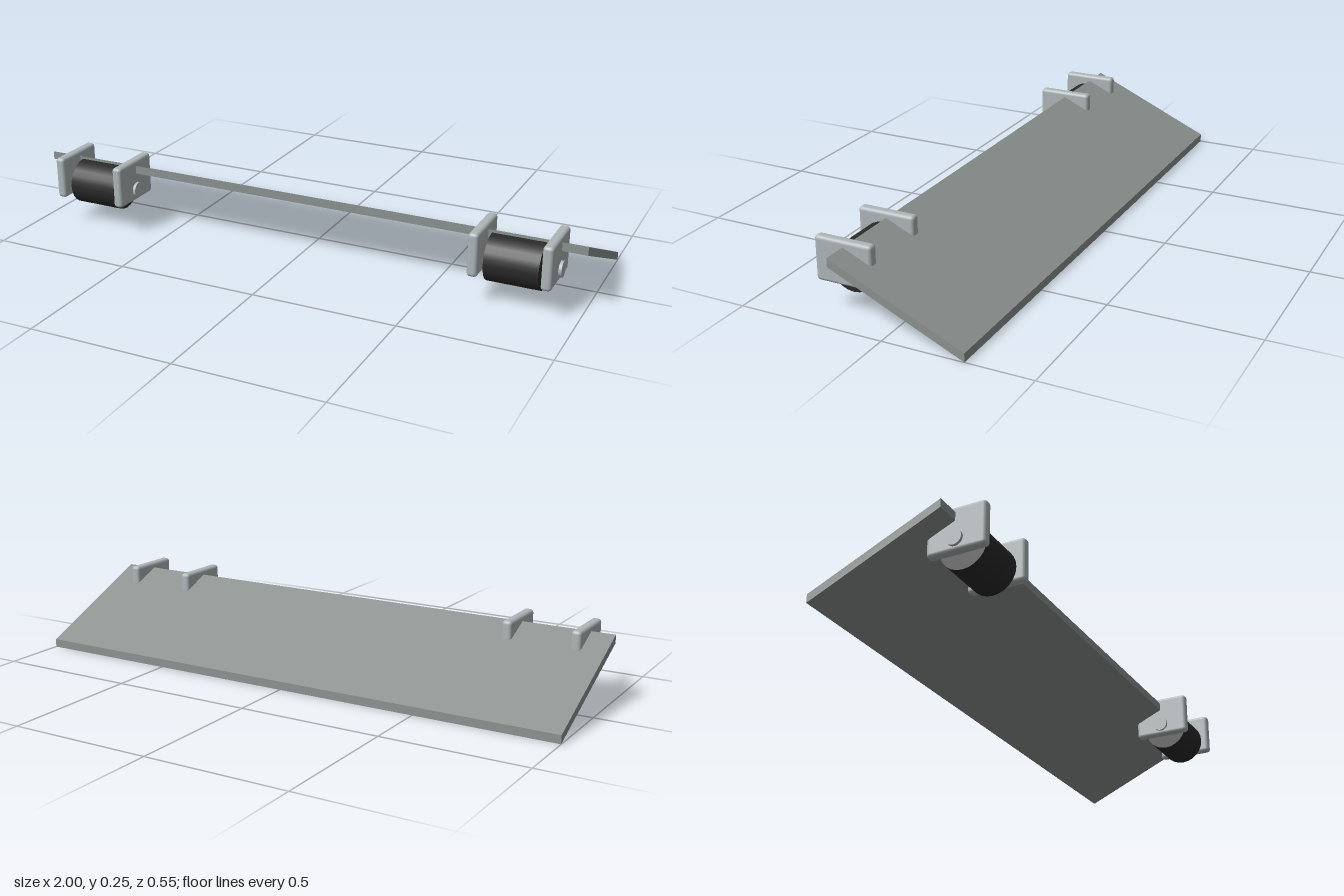
import * as THREE from 'three';
import { RoundedBoxGeometry } from 'three/addons/geometries/RoundedBoxGeometry.js';

const material = (name, color) => Object.assign(new THREE.MeshStandardMaterial({ color }), { name });

export function createModel() {
  const rampGrey = material('rampGrey', 0x8c9390);
  const steel = material('steel', 0xaeb6b8);
  const rubber = material('rubber', 0x2a2a2a);
  const model = new THREE.Group();
  model.name = 'rollerRamp';

  const add = (parent, name, geometry, mat, x, y, z) => {
    const mesh = new THREE.Mesh(geometry, mat);
    mesh.name = name;
    mesh.position.set(x, y, z);
    parent.add(mesh);
  };

  // Sloping plank: a box sheared so its ends stay vertical
  const plank = new THREE.BoxGeometry(2, 0.029, 0.452);
  const p = plank.attributes.position;
  for (let i = 0; i < p.count; i++) p.setY(i, p.getY(i) + p.getZ(i) * 0.445);
  plank.computeVertexNormals();
  add(model, 'ramp', plank, rampGrey, 0, 0.1155, -0.051);

  // Roller with axle and two side brackets at each end of the high edge
  const rollerGeo = new THREE.CylinderGeometry(0.08, 0.08, 0.18, 24).rotateZ(Math.PI / 2);
  const axleGeo = new THREE.CylinderGeometry(0.027, 0.027, 0.295, 24).rotateZ(Math.PI / 2);
  const bracketGeo = new RoundedBoxGeometry(0.035, 0.149, 0.2, 3, 0.012);
  for (const side of [-1, 1]) {
    const unit = new THREE.Group();
    unit.name = side > 0 ? 'leftRollerUnit' : 'rightRollerUnit';
    unit.position.set(side * 0.78, 0.142, 0.176);
    add(unit, 'roller', rollerGeo, rubber, 0, 0, 0);
    add(unit, 'axle', axleGeo, steel, 0, 0, 0);
    for (const s of [-1, 1]) add(unit, 'bracket', bracketGeo, steel, s * 0.12, 0.034, 0.001);
    model.add(unit);
  }
  return model;
}
